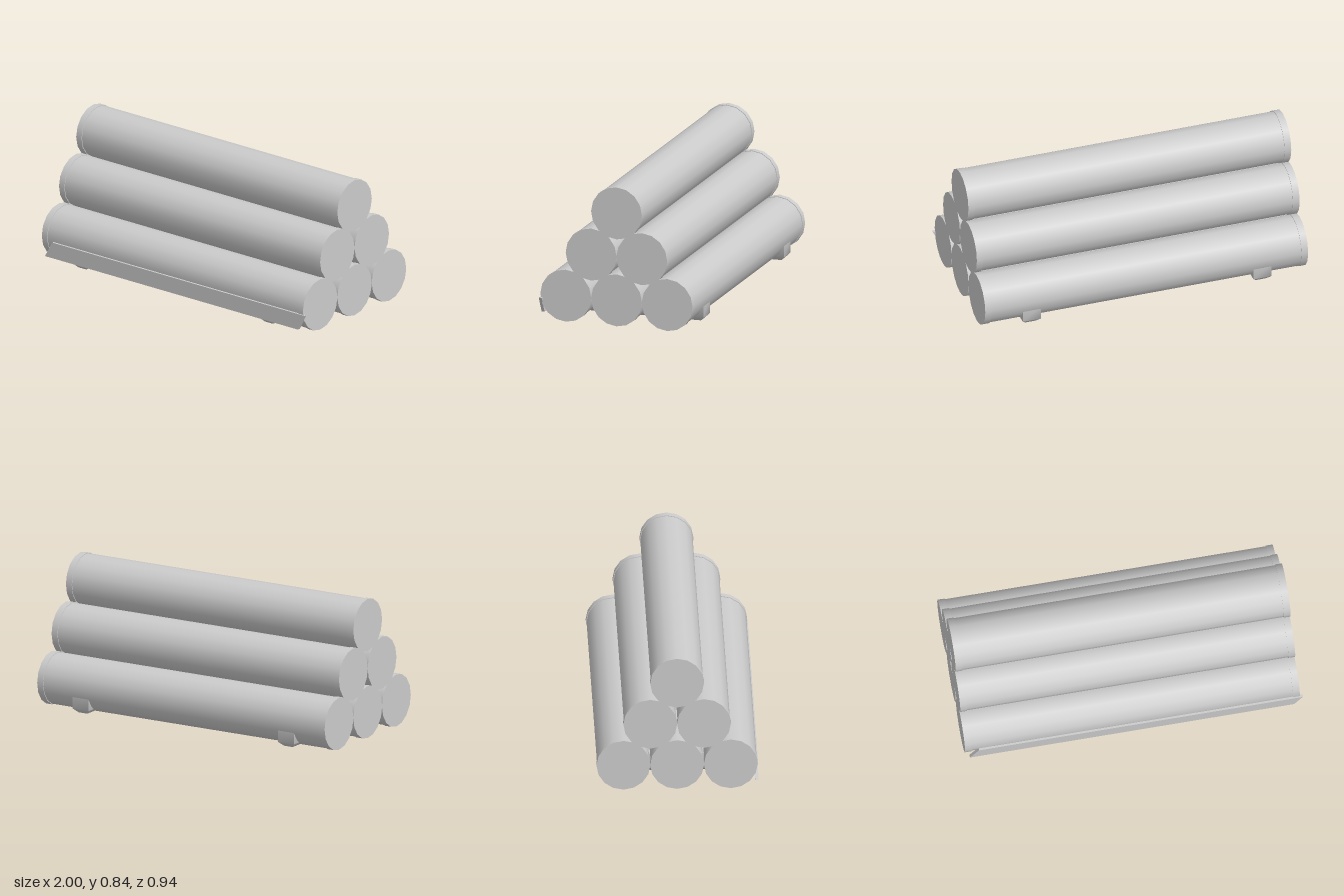
import * as THREE from 'three';
import { toCreasedNormals } from 'three/addons/utils/BufferGeometryUtils.js';

const material = new THREE.MeshStandardMaterial({ color: 0xcccccc });

function addMesh(parent, name, geometry, x = 0, y = 0, z = 0) {
  const mesh = new THREE.Mesh(geometry, material);
  mesh.name = name;
  mesh.position.set(x, y, z);
  parent.add(mesh);
  return mesh;
}

// Sixteen-sided cylinder lying along x
const lyingCylinder = (radius, length, open) =>
  new THREE.CylinderGeometry(radius, radius, length, 16, 1, open).rotateZ(Math.PI / 2);

// Box whose lower edges are chamfered on all four sides
function chamferedBeam(width, depth, yBottom, yChamfer, yTop, inset) {
  const geometry = new THREE.BoxGeometry(width, 2, depth, 1, 2, 1);
  const p = geometry.attributes.position;
  for (let i = 0; i < p.count; i++) {
    const level = Math.round(p.getY(i));
    p.setY(i, [yBottom, yChamfer, yTop][level + 1]);
    if (level < 0) {
      p.setX(i, p.getX(i) - Math.sign(p.getX(i)) * inset);
      p.setZ(i, p.getZ(i) - Math.sign(p.getZ(i)) * inset);
    }
  }
  return toCreasedNormals(geometry, Math.PI / 3);
}

export function createModel() {
  const model = new THREE.Group();
  model.name = 'pipeStack';

  // Pyramid of six pipes, each with a slightly wider rim at both ends
  const radius = 0.157;
  const body = lyingCylinder(0.153, 1.92, true);
  const rim = lyingCylinder(radius, 0.04, false);
  for (let row = 0; row < 3; row++) {
    const count = 3 - row;
    for (let i = 0; i < count; i++) {
      const pipe = new THREE.Group();
      pipe.name = 'pipe';
      pipe.position.set(-0.01, 0.158 + row * 0.2625, (i - (count - 1) / 2) * 0.313);
      addMesh(pipe, 'pipeBody', body);
      for (const side of [-1, 1]) addMesh(pipe, 'pipeRim', rim, side * 0.97);
      model.add(pipe);
    }
  }

  // Two cross beams under the bottom row
  const beam = chamferedBeam(0.11, 0.91, 0.009, 0.034, 0.126, 0.025);
  for (const x of [-0.725, 0.69]) addMesh(model, 'crossBeam', beam, x);

  // Slant-ended plank along the front
  const outline = new THREE.Shape([
    [-0.972, 0.039], [0.945, 0.039], [0.996, 0.136], [-0.918, 0.136],
  ].map(([x, y]) => new THREE.Vector2(x, y)));
  addMesh(model, 'frontPlank',
    new THREE.ExtrudeGeometry(outline, { depth: 0.018, bevelEnabled: false }), 0, 0, 0.456);

  return model;
}
